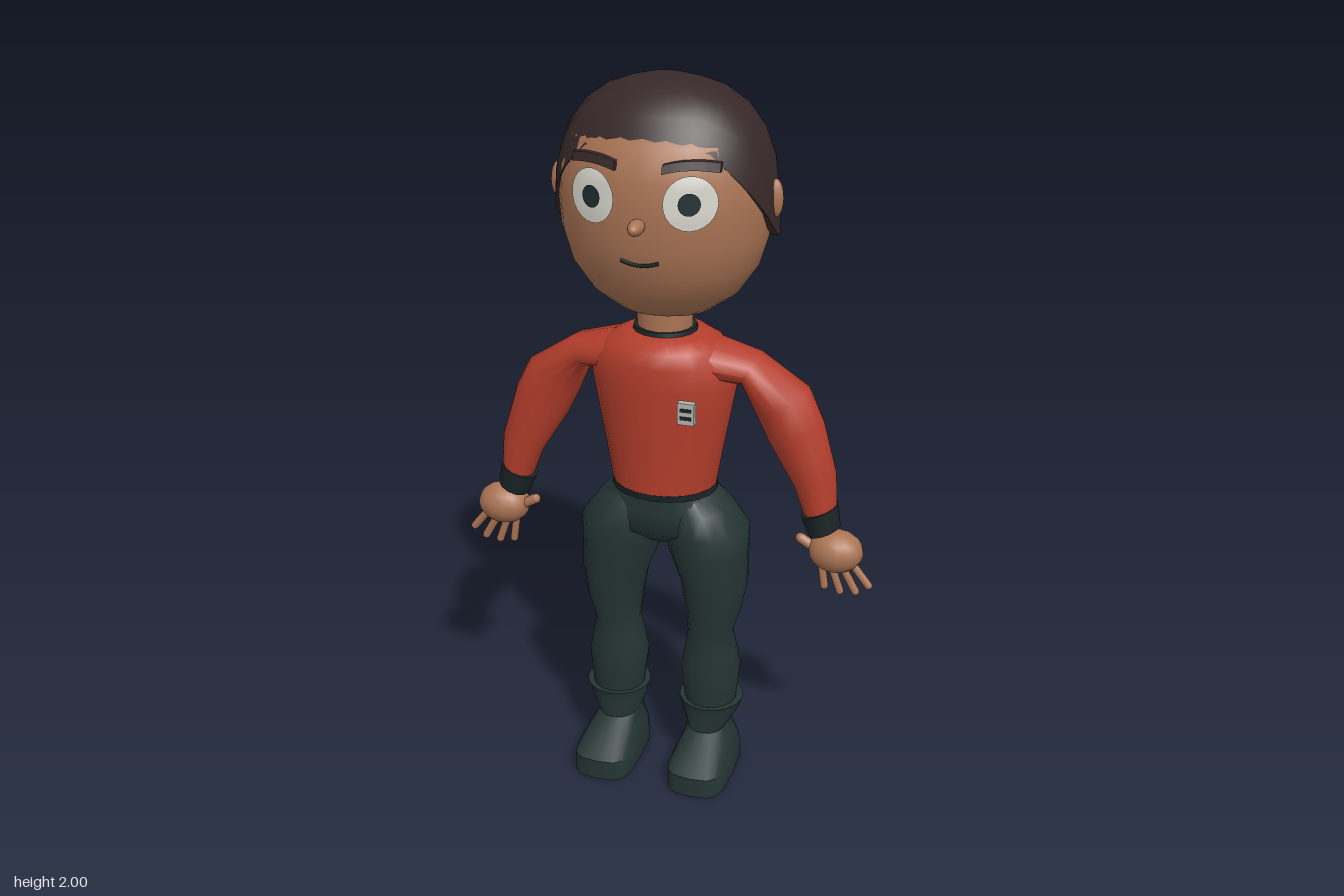
import * as THREE from 'three';
import { toCreasedNormals } from 'three/addons/utils/BufferGeometryUtils.js';

const mat = (name, color) => {
  const m = new THREE.MeshStandardMaterial({ color });
  m.name = name;
  return m;
};

// Elliptical cross-section; tilt turns it in the xy plane, e < 1 makes it squarer.
const ring = (x, y, z, a, b, tilt = 0, e = 1) => ({ x, y, z, a, b, tilt, e });
const pw = (v, e) => Math.sign(v) * Math.pow(Math.abs(v), e);

// Skin through cross-sections listed from bottom to top, capped at both ends.
function loft(rings, n = 16, crease = 0.9) {
  const pos = [], idx = [];
  for (const r of rings) {
    for (let j = 0; j < n; j++) {
      const p = (j / n) * Math.PI * 2;
      const u = r.a * pw(Math.cos(p), r.e), v = r.b * pw(Math.sin(p), r.e);
      pos.push(r.x + u * Math.cos(r.tilt), r.y + u * Math.sin(r.tilt), r.z + v);
    }
  }
  const first = rings[0], last = rings[rings.length - 1], base = rings.length * n;
  pos.push(first.x, first.y, first.z, last.x, last.y, last.z);
  for (let j = 0; j < n; j++) {
    const k = (j + 1) % n, top = base - n;
    for (let i = 0; i < rings.length - 1; i++) {
      const A = i * n + j, B = i * n + k;
      idx.push(A, A + n, B, B, A + n, B + n);
    }
    idx.push(base, j, k, base + 1, top + k, top + j);
  }
  return finish(pos, idx, crease);
}

function finish(pos, idx, crease) {
  const g = new THREE.BufferGeometry();
  g.setAttribute('position', new THREE.Float32BufferAttribute(pos, 3));
  g.setIndex(idx);
  return toCreasedNormals(g, crease);
}

// Piecewise-linear radius lookup in a [y, radius] profile sorted by rising y.
function radiusAt(profile, y) {
  for (let i = 1; i < profile.length; i++) {
    const [y0, r0] = profile[i - 1], [y1, r1] = profile[i];
    if (y <= y1) return r0 + ((r1 - r0) * (y - y0)) / (y1 - y0);
  }
  return profile[profile.length - 1][1];
}

const HEAD = [[1.4, 0.125], [1.45, 0.195], [1.53, 0.25], [1.61, 0.274], [1.7, 0.281],
  [1.78, 0.276], [1.86, 0.248], [1.93, 0.185], [1.97, 0.08]];
const HEAD_Z = -0.018, HEAD_DEPTH = 0.815;
const HAIR = [[1.61, 0.296], [1.7, 0.293], [1.79, 0.285], [1.87, 0.256], [1.93, 0.212],
  [1.97, 0.155], [1.99, 0.095], [2.0, 0.05]];

// z of the face surface at (x, y)
function faceZ(x, y) {
  const r = radiusAt(HEAD, y);
  return HEAD_Z + HEAD_DEPTH * Math.sqrt(Math.max(0, r * r - x * x));
}

// Lay a flat geometry onto the face, keeping its own z as height above the skin.
function onFace(geo, cx, cy, lift) {
  const p = geo.attributes.position;
  for (let i = 0; i < p.count; i++) {
    const x = p.getX(i) + cx, y = p.getY(i) + cy;
    p.setXYZ(i, x, y, faceZ(x, y) + p.getZ(i) + lift);
  }
  geo.computeVertexNormals();
  return geo;
}

// Height of the hair edge by angle from the front
function hairline(deg) {
  if (deg < 36) return 1.855;
  return deg > 88 ? 1.61 : 1.855 - (0.245 * (deg - 36)) / 52;
}

function hairGeometry() {
  const n = 48, steps = [0, 0.03, 0.08, 0.18, 0.33, 0.5, 0.75, 1], pos = [], idx = [];
  const rows = steps.length + 1;
  for (let i = rows - 1; i >= 0; i--) {
    for (let j = 0; j < n; j++) {
      const p = (j / n) * Math.PI * 2;
      const deg = Math.abs(Math.atan2(Math.cos(p), Math.sin(p))) * 180 / Math.PI;
      const f = steps[Math.min(i, steps.length - 1)];
      const y = 2 - (2 - hairline(deg)) * f;
      const r = radiusAt(HAIR, y) * (i === rows - 1 ? 0.88 : 1);
      pos.push(r * Math.cos(p), y, -0.026 + r * 0.79 * Math.sin(p));
    }
  }
  pos.push(0, 2, -0.026);
  for (let j = 0; j < n; j++) {
    const k = (j + 1) % n, top = (rows - 1) * n;
    for (let i = 0; i < rows - 1; i++) {
      const A = i * n + j, B = i * n + k;
      idx.push(A, A + n, B, B, A + n, B + n);
    }
    idx.push(rows * n, top + k, top + j);
  }
  return finish(pos, idx, 0.9);
}

export function createModel() {
  const skin = mat('skin', 0xaa7454), hair = mat('hair', 0x372828);
  const shirt = mat('red shirt', 0xb43e2c), pants = mat('dark green cloth', 0x253434);
  const trim = mat('dark trim', 0x1b2426), white = mat('eye white', 0xd6d6cc);
  const pupilMat = mat('pupil', 0x1f2c2e), silver = mat('badge silver', 0xb4b4ae);
  const root = new THREE.Group();
  root.name = 'figure';
  const add = (name, geo, material) => {
    const m = new THREE.Mesh(geo, material);
    m.name = name;
    root.add(m);
    return m;
  };
  const ball = (name, m, x, y, z, rx, ry, rz) => {
    const b = add(name, new THREE.SphereGeometry(1, 14, 10), m);
    b.position.set(x, y, z);
    b.scale.set(rx, ry, rz);
    return b;
  };

  // Head, hair and neck
  add('head', loft(HEAD.map(([y, r]) => ring(0, y, HEAD_Z, r, r * HEAD_DEPTH)), 24), skin);
  add('hair', hairGeometry(), hair);
  add('neck', loft([ring(0, 1.3, -0.015, 0.075, 0.075), ring(0, 1.43, -0.015, 0.075, 0.075)]), skin);
  add('collar', loft([ring(0, 1.315, -0.015, 0.09, 0.09), ring(0, 1.345, -0.015, 0.085, 0.083)]), trim);

  // Nose and mouth
  ball('nose', skin, 0, 1.675, 0.222, 0.02, 0.02, 0.038);
  const smile = [-0.05, -0.025, 0, 0.025, 0.05].map((x) => {
    const y = 1.57 + 4 * x * x;
    return new THREE.Vector3(x, y, faceZ(x, y) + 0.001);
  });
  add('mouth', new THREE.TubeGeometry(new THREE.CatmullRomCurve3(smile), 12, 0.005, 6), trim);

  // Torso, waistband and hips
  const tz = -0.014;
  add('torso', loft([
    ring(0, 0.89, tz, 0.145, 0.125), ring(0, 1.0, tz, 0.163, 0.13), ring(0, 1.1, tz, 0.182, 0.137),
    ring(0, 1.2, tz, 0.2, 0.143), ring(0, 1.265, tz, 0.198, 0.146), ring(0, 1.305, tz, 0.16, 0.138),
    ring(0, 1.328, tz, 0.115, 0.115), ring(0, 1.334, tz, 0.085, 0.085)], 20), shirt);
  add('waistband', loft([ring(0, 0.875, tz, 0.148, 0.122), ring(0, 0.895, tz, 0.147, 0.126)], 20), trim);
  add('hips', loft([
    ring(0, 0.72, -0.018, 0.12, 0.06), ring(0, 0.765, -0.018, 0.232, 0.112),
    ring(0, 0.83, -0.018, 0.192, 0.116), ring(0, 0.885, -0.016, 0.143, 0.112)], 20), pants);

  // Chest badge with two bars
  const badge = add('badge', new THREE.BoxGeometry(0.045, 0.06, 0.02), silver);
  badge.position.set(0.107, 1.163, 0.113);
  badge.position.z = 0.142;
  for (const y of [1.152, 1.174]) {
    add('badgeBar', new THREE.BoxGeometry(0.03, 0.009, 0.004), trim).position.set(0.107, y, 0.153);
  }

  for (const s of [1, -1]) {
    const side = s > 0 ? 'left' : 'right';
    const r = (x, y, z, a, b, t = 0, e = 1) => ring(s * x, y, z, a, b, s * t, e);

    // Eye, eyebrow and ear
    const disc = (radius) => new THREE.RingGeometry(0.0005, radius, 24, 4).scale(0.93, 1, 1);
    add(side + 'Eye', onFace(disc(0.068), s * 0.126, 1.735, 0.006), white);
    add(side + 'Pupil', onFace(disc(0.028), s * 0.126, 1.735, 0.01), pupilMat);
    const brow = new THREE.BoxGeometry(0.13, 0.022, 0.02, 6, 1, 1);
    const bp = brow.attributes.position;
    for (let i = 0; i < bp.count; i++) bp.setY(i, bp.getY(i) - 2.2 * bp.getX(i) ** 2);
    add(side + 'Eyebrow', onFace(brow, s * 0.125, 1.828, 0.006), hair);
    ball(side + 'Ear', skin, s * 0.289, 1.71, -0.012, 0.021, 0.05, 0.02);

    // Sleeve and cuff
    add(side + 'Sleeve', loft([
      r(0.44, 0.85, -0.018, 0.046, 0.05, 0.4), r(0.418, 0.95, -0.02, 0.062, 0.058, 0.38),
      r(0.36, 1.08, -0.026, 0.082, 0.068, 0.4), r(0.323, 1.155, -0.03, 0.081, 0.078, 0.5),
      r(0.235, 1.243, -0.025, 0.046, 0.075, 1.1), r(0.13, 1.262, -0.016, 0.055, 0.1, 1.35)], 12), shirt);
    add(side + 'Cuff', loft([
      r(0.452, 0.8, -0.016, 0.046, 0.05, 0.4), r(0.434, 0.86, -0.017, 0.054, 0.057, 0.4)], 12), trim);

    // Hand with four fingers and a thumb
    ball(side + 'Palm', skin, s * 0.485, 0.742, -0.014, 0.076, 0.06, 0.062);
    const digits = [[0.448, 0.7, 0.458, 0.632], [0.476, 0.695, 0.502, 0.623],
      [0.505, 0.7, 0.545, 0.628], [0.53, 0.715, 0.58, 0.652], [0.445, 0.735, 0.388, 0.768]];
    digits.forEach(([x0, y0, x1, y1], i) => {
      const rad = i === 4 ? 0.015 : 0.0115;
      const d = add(side + (i === 4 ? 'Thumb' : 'Finger'),
        new THREE.CapsuleGeometry(rad, Math.hypot(x1 - x0, y1 - y0), 3, 8), skin);
      d.position.set((s * (x0 + x1)) / 2, (y0 + y1) / 2, -0.01);
      d.rotation.z = Math.atan2(-s * (x1 - x0), y1 - y0);
    });

    // Trouser leg
    add(side + 'Leg', loft([
      r(0.14, 0.17, -0.01, 0.07, 0.072), r(0.139, 0.24, -0.01, 0.077, 0.08),
      r(0.138, 0.32, -0.012, 0.086, 0.086), r(0.138, 0.38, -0.008, 0.075, 0.08),
      r(0.138, 0.44, -0.005, 0.063, 0.077), r(0.146, 0.52, -0.01, 0.08, 0.094),
      r(0.145, 0.6, -0.014, 0.094, 0.105), r(0.126, 0.7, -0.018, 0.113, 0.118),
      r(0.121, 0.765, -0.018, 0.119, 0.122), r(0.1, 0.83, -0.018, 0.09, 0.11),
      r(0.075, 0.88, -0.016, 0.06, 0.08)]), pants);

    // Boot with a flared top
    add(side + 'Boot', loft([
      r(0.14, 0, 0.052, 0.087, 0.148, 0, 0.55), r(0.14, 0.06, 0.052, 0.086, 0.148, 0, 0.55),
      r(0.138, 0.1, 0.015, 0.068, 0.108, 0, 0.65), r(0.135, 0.13, -0.01, 0.057, 0.08, 0, 0.85),
      r(0.139, 0.185, -0.012, 0.083, 0.085), r(0.14, 0.192, -0.013, 0.084, 0.086),
      r(0.141, 0.218, -0.013, 0.093, 0.094)]), pants);
  }
  return root;
}
